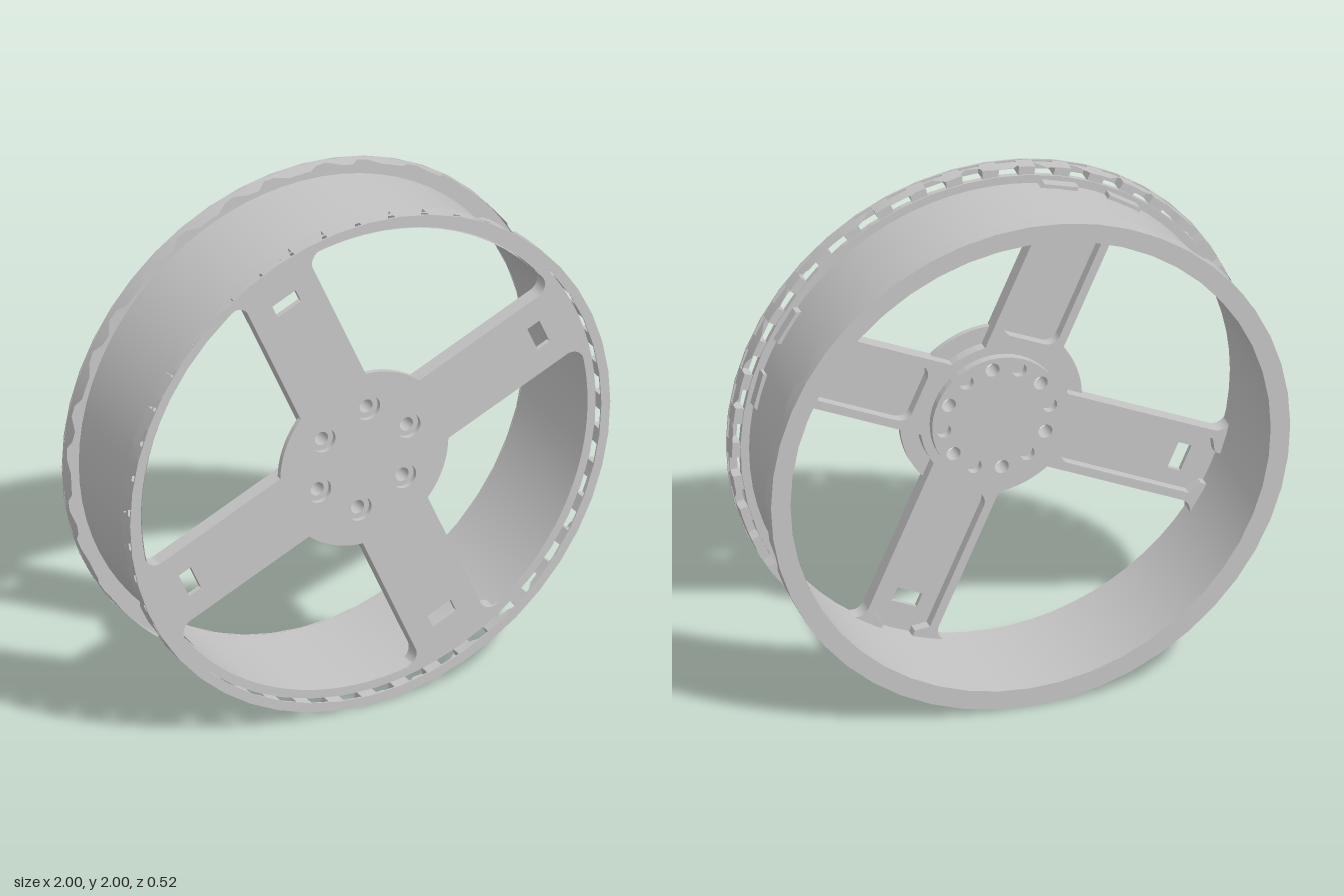
import * as THREE from 'three';

const SPOKE_ANGLE = THREE.MathUtils.degToRad(24);
const W = 0.148;      // half width of a spoke
const F = 0.05;       // fillet where a spoke meets the rim
const R_WIN = 0.93;   // outer radius of the openings
const BOLT_R = 0.205;

export function createModel() {
  const metal = new THREE.MeshStandardMaterial({ color: 0xc4c4c4, side: THREE.DoubleSide });
  metal.name = 'light grey metal';

  const wheel = new THREE.Group();
  wheel.name = 'wheel';
  wheel.position.y = 1;

  const add = (name, geometry, parent = wheel) => {
    const mesh = new THREE.Mesh(geometry, metal);
    mesh.name = name;
    parent.add(mesh);
    return mesh;
  };
  const extrude = (shape, z0, z1, curveSegments = 24) =>
    new THREE.ExtrudeGeometry(shape, { depth: z1 - z0, bevelEnabled: false, curveSegments }).translate(0, 0, z0);
  const disc = (r, x = 0, y = 0) => new THREE.Shape().absarc(x, y, r, 0, Math.PI * 2);
  const ring = (r0, r1) => {
    const s = disc(r1);
    s.holes.push(disc(r0));
    return s;
  };
  const boltHoles = (shape, count, r) => {
    for (let i = 0; i < count; i++) {
      const a = THREE.MathUtils.degToRad(85) - SPOKE_ANGLE + (i / count) * Math.PI * 2;
      shape.holes.push(disc(r, Math.cos(a) * BOLT_R, Math.sin(a) * BOLT_R));
    }
  };
  const turned = (shapePoints, a) =>
    new THREE.Shape(shapePoints.map(p => p.clone().rotateAround(new THREE.Vector2(), a)));

  // Smooth barrel walls and the closed back flange
  for (const [name, r] of [['barrelOutside', 0.932], ['barrelInside', 0.925]]) {
    add(name, new THREE.CylinderGeometry(r, r, 0.47, 72, 1, true).rotateX(Math.PI / 2).translate(0, 0, -0.025));
  }
  add('backFlange', extrude(ring(0.925, 1), -0.26, -0.254));

  // Front lip, held on short posts so that slots remain between them
  add('frontLip', extrude(ring(0.963, 1), 0.254, 0.26));
  const POSTS = 44;
  const post = new THREE.Shape();
  const half = Math.PI / POSTS * 0.45;
  post.absarc(0, 0, 0.997, -half, half, false);
  post.absarc(0, 0, 0.963, half, -half, true);
  const postGeometry = extrude(post, 0.2, 0.255, 2);
  for (let i = 0; i < POSTS; i++) {
    add('lipPost', postGeometry).rotation.z = (i / POSTS) * Math.PI * 2;
  }

  // Toothed bands round the outside: one edge is straight, the other stepped
  const TEETH = [0.192, 0.192, 0.192, 0.228, 0.231, 0.19, 0.198, 0.232, 0.224];
  const toothedBand = (name, side, edge) => {
    const n = 144;
    const g = new THREE.CylinderGeometry(0.998, 0.998, 1, n, 1, true).rotateX(Math.PI / 2);
    const p = g.attributes.position;
    for (let i = 0; i <= n; i++) {
      const tooth = TEETH[i % TEETH.length];
      p.setZ(i, side > 0 ? edge : -tooth);
      p.setZ(n + 1 + i, side > 0 ? tooth : -edge);
    }
    add(name, g);
  };
  toothedBand('frontToothedBand', 1, 0.238);
  toothedBand('backToothedBand', -1, 0.26);

  // Everything below is drawn with the first spoke along +x, then turned
  const centre = new THREE.Group();
  centre.name = 'spokesAndHub';
  centre.rotation.z = SPOKE_ANGLE;
  wheel.add(centre);

  // Opening between two spokes, rounded at the rim
  const d = Math.sqrt((R_WIN - F) ** 2 - (W + F) ** 2);
  const t = Math.atan2(W + F, d);
  const hubA = Math.asin(W / 0.35);
  const opening = new THREE.Path();
  opening.absarc(d, W + F, F, -Math.PI / 2, t, false);
  opening.absarc(0, 0, R_WIN, t, Math.PI / 2 - t, false);
  opening.absarc(W + F, d, F, Math.PI / 2 - t, Math.PI, false);
  opening.absarc(0, 0, 0.35, Math.PI / 2 - hubA, hubA, true);
  opening.closePath();
  const openingPoints = opening.getPoints(12);
  const slotPoints = [[0.767, -0.053], [0.822, -0.053], [0.822, 0.053], [0.767, 0.053]]
    .map(([x, y]) => new THREE.Vector2(x, y));

  // Front plate with openings, spoke slots and counterbored bolt holes
  const plate = disc(0.965);
  for (let i = 0; i < 4; i++) {
    plate.holes.push(turned(openingPoints, i * Math.PI / 2));
    plate.holes.push(turned(slotPoints, i * Math.PI / 2));
  }
  boltHoles(plate, 6, 0.048);
  add('frontPlate', extrude(plate, 0.195, 0.215), centre);

  // Hub base with six through holes, and the rear boss with twelve
  const base = disc(0.285);
  boltHoles(base, 6, 0.027);
  add('hubBase', extrude(base, 0.155, 0.196), centre);
  const boss = disc(0.25);
  boltHoles(boss, 12, 0.027);
  add('hubBoss', extrude(boss, 0.125, 0.156), centre);

  // Raised frame behind each spoke, leaving a pocket; its flared feet pass the barrel
  const frame = new THREE.Shape();
  frame.moveTo(0.24, -W);
  frame.lineTo(d, -W);
  frame.absarc(d, -W - F, F, Math.PI / 2, -t, true);
  frame.lineTo(0.926, -0.2);
  frame.lineTo(0.946, -0.065);
  frame.lineTo(0.9, -0.065);
  frame.lineTo(0.87, -0.115);
  frame.lineTo(0.36, -0.115);
  frame.absarc(0.36, -0.07, 0.045, -Math.PI / 2, -Math.PI, true);
  frame.absarc(0.36, 0.07, 0.045, Math.PI, Math.PI / 2, true);
  frame.lineTo(0.87, 0.115);
  frame.lineTo(0.9, 0.065);
  frame.lineTo(0.946, 0.065);
  frame.lineTo(0.926, 0.2);
  frame.absarc(d, W + F, F, t, -Math.PI / 2, true);
  frame.lineTo(0.24, W);
  frame.closePath();
  const frameGeometry = extrude(frame, 0.155, 0.196, 8);
  for (let i = 0; i < 4; i++) {
    add('spokeFrame', frameGeometry, centre).rotation.z = i * Math.PI / 2;
  }

  const model = new THREE.Group();
  model.name = 'spokedWheel';
  model.add(wheel);
  return model;
}
